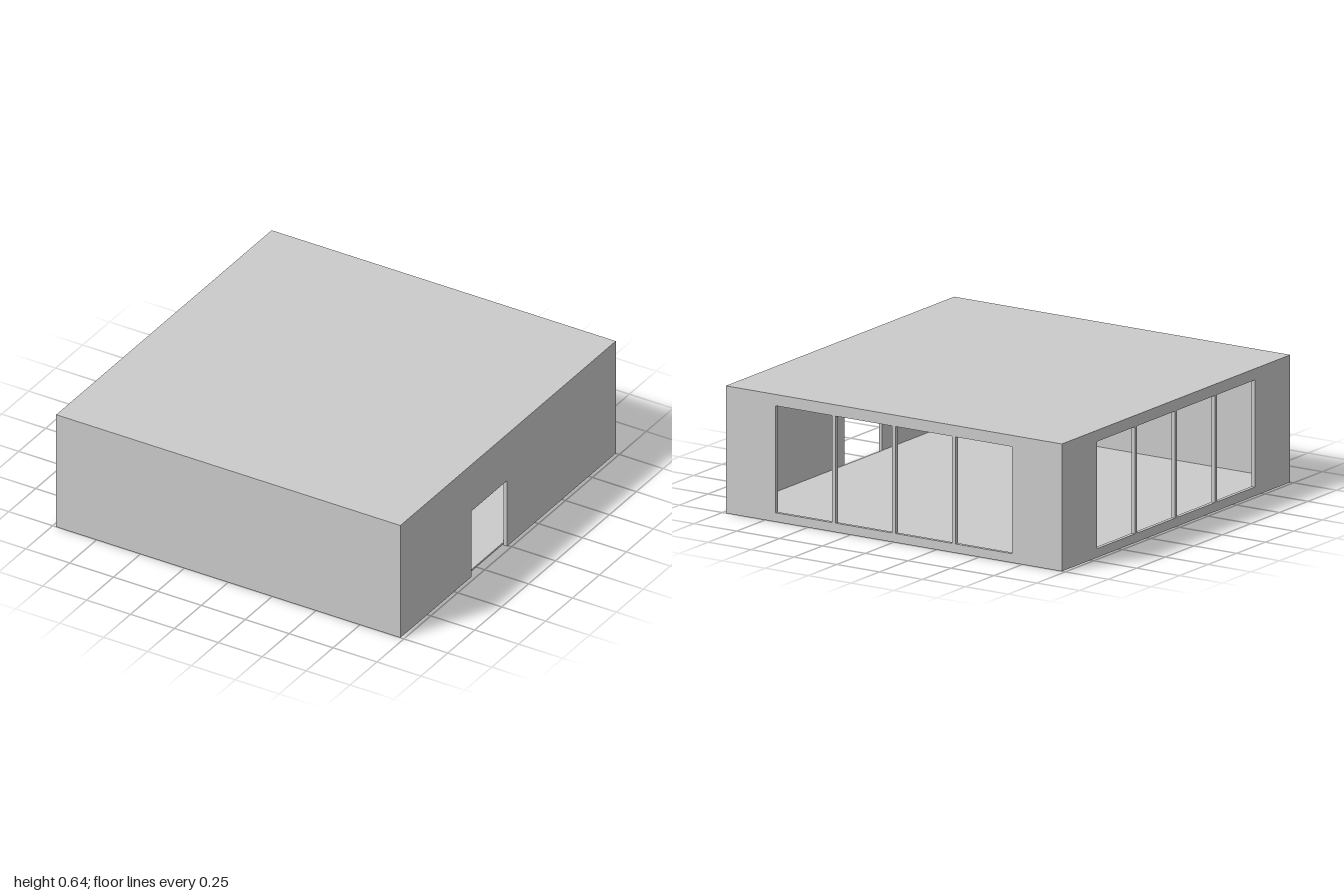
import * as THREE from 'three';

const HALF_X = 0.98, HALF_Z = 1, HEIGHT = 0.64, T = 0.02;
const WALL_TOP = HEIGHT - T;
const material = new THREE.MeshStandardMaterial({ color: 0xcccccc, flatShading: true });

function add(group, name, geometry, x, y, z) {
  const mesh = new THREE.Mesh(geometry, material);
  mesh.name = name;
  mesh.position.set(x, y, z);
  group.add(mesh);
  return mesh;
}

function outline(target, points) {
  target.setFromPoints(points.map(([x, y]) => new THREE.Vector2(x, y)));
  target.closePath();
  return target;
}

// Flat wall panel, thickness along z
function wall(points, openings = []) {
  const shape = outline(new THREE.Shape(), points);
  for (const [a, b, lo, hi] of openings) {
    shape.holes.push(outline(new THREE.Path(), [[a, lo], [a, hi], [b, hi], [b, lo]]));
  }
  return new THREE.ExtrudeGeometry(shape, { depth: T, bevelEnabled: false });
}

const rectangle = (h) => [[-h, 0], [h, 0], [h, WALL_TOP], [-h, WALL_TOP]];

export function createModel() {
  const room = new THREE.Group();
  room.name = 'room';

  // Row of four tall windows split by slim mullions
  const windows = [];
  for (let i = 0; i < 4; i++) {
    const centre = (i - 1.5) * 0.35;
    windows.push([centre - 0.165, centre + 0.165, 0.045, 0.583]);
  }

  // Front and back walls span the full width
  add(room, 'frontWall', wall(rectangle(HALF_X)), 0, 0, HALF_Z - T);
  add(room, 'backWindowWall', wall(rectangle(HALF_X), windows), 0, 0, -HALF_Z);

  // Side walls fit between them; the turn maps shape x to -z
  const h = HALF_Z - T;
  add(room, 'rightWindowWall', wall(rectangle(h), windows), -HALF_X, 0, 0).rotation.y = Math.PI / 2;

  // Doorway is cut down to the ground
  const doorWall = wall([
    [-h, 0], [-0.34, 0], [-0.34, 0.375], [-0.01, 0.375], [-0.01, 0],
    [h, 0], [h, WALL_TOP], [-h, WALL_TOP],
  ]);
  add(room, 'leftDoorWall', doorWall, HALF_X - T, 0, 0).rotation.y = Math.PI / 2;

  // Roof is flush with the walls; the floor is slightly recessed
  add(room, 'roof', new THREE.BoxGeometry(HALF_X * 2, T, HALF_Z * 2), 0, HEIGHT - T / 2, 0);
  add(room, 'floor', new THREE.BoxGeometry((HALF_X - T) * 2, 0.01, h * 2), 0, 0.013, 0);

  return room;
}
